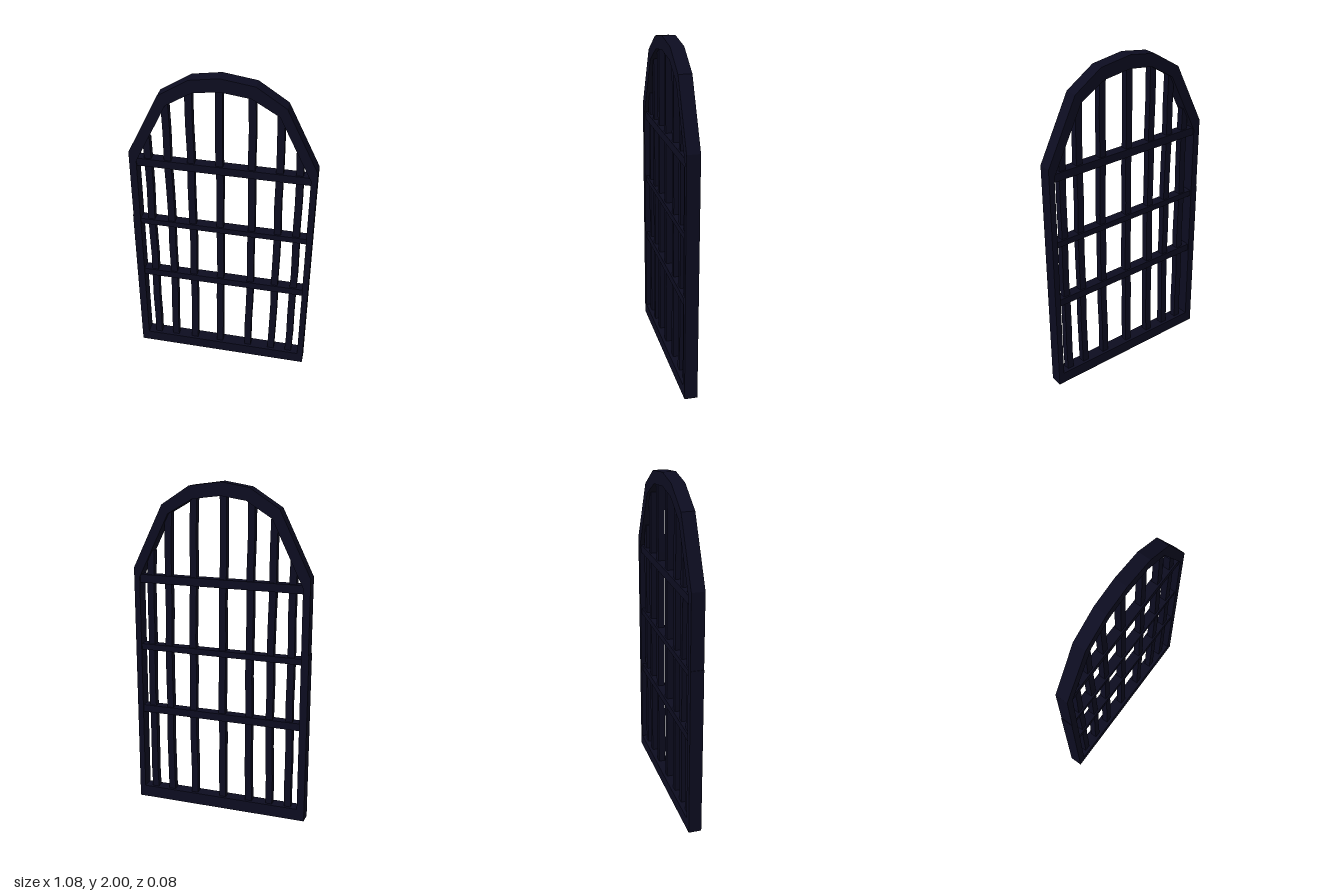
import * as THREE from 'three';

const iron = new THREE.MeshStandardMaterial({ color: 0x0c0c20, flatShading: true });
iron.name = 'dark iron';

const toPoints = (list) => list.map(([x, y]) => new THREE.Vector2(x, y));

// Arched surround: faceted outline with the opening cut out
function createFrame() {
  const shape = new THREE.Shape(toPoints([
    [-0.54, 0], [0.537, 0], [0.537, 1.485], [0.352, 1.862], [0.183, 1.973],
    [-0.01, 2], [-0.177, 1.973], [-0.352, 1.862], [-0.537, 1.485], [-0.537, 1.04], [-0.54, 1.04],
  ]));
  shape.holes.push(new THREE.Path(toPoints([
    [-0.495, 0.072], [-0.495, 1.43], [-0.31, 1.807], [-0.16, 1.9], [-0.01, 1.922],
    [0.162, 1.9], [0.315, 1.81], [0.502, 1.43], [0.502, 0.072],
  ])));
  const geo = new THREE.ExtrudeGeometry(shape, { depth: 0.077, bevelEnabled: false });
  geo.translate(0, 0, -0.0385);
  const mesh = new THREE.Mesh(geo, iron);
  mesh.name = 'archedFrame';
  return mesh;
}

// Upright bar, hand-forged: each ring of vertices drifts a little sideways
function createBar(x, top, lean, index) {
  const bottom = 0.04, height = top - bottom;
  const geo = new THREE.BoxGeometry(0.041, height, 0.04, 1, 9, 1);
  geo.translate(0, bottom + height / 2, 0);
  const pos = geo.attributes.position;
  for (let i = 0; i < pos.count; i++) {
    const y = pos.getY(i);
    const drift = 0.008 * lean * Math.sin(Math.PI * y / 1.5) + 0.0025 * Math.sin(y * 11 + index * 2);
    pos.setX(i, x + pos.getX(i) + drift);
  }
  geo.computeVertexNormals();
  const mesh = new THREE.Mesh(geo, iron);
  mesh.name = `uprightBar${index + 1}`;
  return mesh;
}

export function createModel() {
  const model = new THREE.Group();
  model.name = 'archedWindowGrille';
  model.add(createFrame());

  // Uprights: x, top height, sideways lean
  [
    [-0.432, 1.58, 0.4], [-0.315, 1.82, 1], [-0.182, 1.91, 0.5], [-0.016, 1.94, 0.6],
    [0.168, 1.91, 0.9], [0.324, 1.82, 0.6], [0.436, 1.59, 0.9],
  ].forEach(([x, top, lean], i) => model.add(createBar(x, top, lean, i)));

  // Crossbars: centre height, thickness
  [[0.598, 0.045], [0.998, 0.036], [1.42, 0.049]].forEach(([y, h], i) => {
    const bar = new THREE.Mesh(new THREE.BoxGeometry(1.02, h, 0.06), iron);
    bar.position.set(0.003, y, 0);
    bar.name = `crossbar${i + 1}`;
    model.add(bar);
  });
  return model;
}
